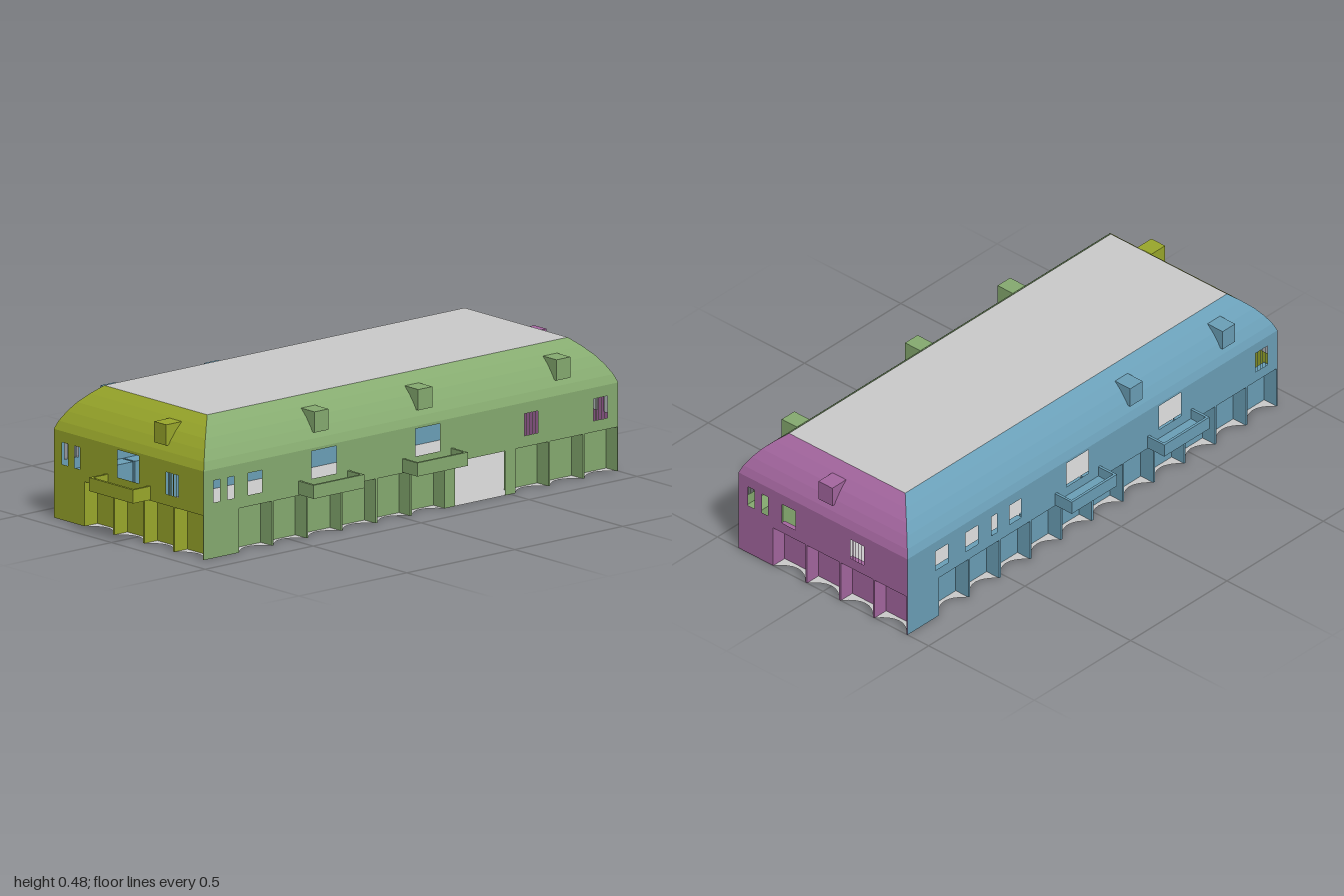
import * as THREE from 'three';

const H = 0.32, BAY_H = 0.16, DEPTH = 0.06, PITCH = 0.16, GAP = 0.004;
// Curved roof edge: [inset from wall, height]
const EAVE = [[0, 0.32], [0.012, 0.35], [0.033, 0.385], [0.058, 0.418], [0.09, 0.45], [0.125, 0.48]];

const FACADES = [
  { name: 'front', color: 0x86ab70, len: 1.92, pos: [0.04, 0, 0.4], rot: 0,
    bays: [1, 2, 3, 4, 5, 6, 9, 10, 11], door: [1.165, 1.395],
    windows: [[0.045, 0.075], [0.11, 0.14], [0.205, 0.27]], slats: [1.485, 1.805],
    balconies: [0.44, 0.92], dormers: [0.525, 1.005, 1.645] },
  { name: 'right', color: 0xa567a0, len: 0.8, pos: [1, 0, 0], rot: Math.PI / 2,
    bays: [1, 2, 3, 4],
    windows: [[0.045, 0.075], [0.11, 0.14], [0.205, 0.27]], slats: [0.53],
    balconies: [], dormers: [0.367] },
  { name: 'back', color: 0x6ba0b8, len: 1.92, pos: [0.04, 0, -0.4], rot: Math.PI,
    bays: [1, 2, 3, 4, 5, 6, 7, 8, 9, 10, 11],
    windows: [[0.144, 0.21], [0.3, 0.365], [0.437, 0.465], [0.53, 0.59]], slats: [1.805],
    balconies: [0.765, 1.245], dormers: [1.17, 1.65] },
  { name: 'left', color: 0x9aa82b, len: 0.8, pos: [-0.92, 0, 0], rot: -Math.PI / 2,
    bays: [1, 2, 3, 4],
    windows: [[0.045, 0.075], [0.11, 0.14]], slats: [0.6],
    balconies: [0.28], dormers: [0.52] },
];

const material = (color) =>
  new THREE.MeshStandardMaterial({ color, side: THREE.DoubleSide, flatShading: true });

function add(parent, name, geometry, mat) {
  const mesh = new THREE.Mesh(geometry, mat);
  mesh.name = name;
  parent.add(mesh);
  return mesh;
}

function addBox(parent, name, mat, x0, x1, y0, y1, z0, z1) {
  add(parent, name, new THREE.BoxGeometry(x1 - x0, y1 - y0, z1 - z0), mat)
    .position.set((x0 + x1) / 2, (y0 + y1) / 2, (z0 + z1) / 2);
}

// Flat four-cornered panels, corners anticlockwise as seen from outside
function quads(list) {
  const pos = [];
  for (const [a, b, c, d] of list) pos.push(...a, ...b, ...c, ...a, ...c, ...d);
  const g = new THREE.BufferGeometry();
  g.setAttribute('position', new THREE.Float32BufferAttribute(pos, 3));
  g.computeVertexNormals();
  return g;
}

const bayRange = (i) => [i * PITCH + GAP, (i + 1) * PITCH - GAP];

function makeFacade(f) {
  const group = new THREE.Group();
  group.name = f.name + 'Facade';
  const mat = material(f.color);
  const h = f.len / 2;

  // Wall outline, notched at the ground for bays and the door
  const notches = f.bays.map(bayRange);
  if (f.door) notches.push(f.door);
  notches.sort((a, b) => a[0] - b[0]);
  const outline = [[0, 0]];
  for (const [a, b] of notches) outline.push([a, 0], [a, BAY_H], [b, BAY_H], [b, 0]);
  outline.push([f.len, 0], [f.len, H], [0, H]);
  const wall = new THREE.Shape(outline.map(([u, y]) => new THREE.Vector2(u - h, y)));
  const hole = (a, b, y0, y1) => wall.holes.push(new THREE.Path(
    [[a, y0], [a, y1], [b, y1], [b, y0]].map(([u, y]) => new THREE.Vector2(u - h, y))));

  // Windows, barred windows and balcony openings
  for (const [a, b] of f.windows) hole(a, b, 0.2, 0.28);
  for (const s of f.slats)
    for (let i = 0; i < 5; i++) hole(s + i * 0.0135, s + i * 0.0135 + 0.0105, 0.2, 0.28);
  for (const b of f.balconies) hole(b + 0.06, b + 0.175, 0.21, 0.31);
  add(group, 'wall', new THREE.ShapeGeometry(wall), mat);

  // Recessed ground floor bays: back, ceiling and two cheeks
  const recess = [];
  for (const i of f.bays) {
    const [a, b] = bayRange(i).map((u) => u - h);
    const p = (x, y, z) => [x, y, -z * DEPTH];
    recess.push(
      [p(a, 0, 1), p(b, 0, 1), p(b, BAY_H, 1), p(a, BAY_H, 1)],
      [p(a, BAY_H, 1), p(b, BAY_H, 1), p(b, BAY_H, 0), p(a, BAY_H, 0)],
      [p(a, 0, 0), p(a, 0, 1), p(a, BAY_H, 1), p(a, BAY_H, 0)],
      [p(b, 0, 1), p(b, 0, 0), p(b, BAY_H, 0), p(b, BAY_H, 1)]);
  }
  add(group, 'recessedBays', quads(recess), mat);

  // Curved eave with mitred ends
  const eave = [];
  for (let i = 0; i + 1 < EAVE.length; i++) {
    const [d0, y0] = EAVE[i], [d1, y1] = EAVE[i + 1];
    eave.push([[-h + d0, y0, -d0], [h - d0, y0, -d0], [h - d1, y1, -d1], [-h + d1, y1, -d1]]);
  }
  add(group, 'curvedEave', quads(eave), mat);

  // Balconies: slab with a thin parapet on three sides
  for (const u of f.balconies) {
    const a = u - h, b = a + 0.235, t = 0.01, y0 = 0.163, y1 = 0.212;
    const balcony = new THREE.Group();
    balcony.name = 'balcony';
    addBox(balcony, 'balconyFloor', mat, a, b, y0, y0 + 0.01, 0, 0.08);
    addBox(balcony, 'balconyFrontParapet', mat, a, b, y0, y1, 0.08 - t, 0.08);
    addBox(balcony, 'balconySideParapet', mat, a, a + t, y0, y1, 0, 0.08 - t);
    addBox(balcony, 'balconySideParapet', mat, b - t, b, y0, y1, 0, 0.08 - t);
    group.add(balcony);
  }

  // Dormers set into the eave
  for (const u of f.dormers)
    addBox(group, 'dormer', mat, u - h, u - h + 0.065, 0.37, 0.445, -0.09, -0.013);

  group.position.set(...f.pos);
  group.rotation.y = f.rot;
  group.updateMatrix();
  return group;
}

export function createModel() {
  const model = new THREE.Group();
  model.name = 'barracksBuilding';
  const grey = material(0xcccccc);
  const floor = [];

  for (const f of FACADES) {
    const facade = makeFacade(f);
    model.add(facade);
    // Floor edge follows the wall, scalloped in front of each bay
    const edge = (u, d) => {
      const p = new THREE.Vector3(u - f.len / 2, 0, -d).applyMatrix4(facade.matrix);
      floor.push(new THREE.Vector2(p.x, -p.z));
    };
    edge(0, 0);
    for (const i of f.bays) {
      const [a, b] = bayRange(i);
      for (let k = 0; k <= 8; k++) {
        const t = k / 8;
        edge(a + (b - a) * t, 0.045 * 4 * t * (1 - t));
      }
    }
  }
  add(model, 'floor', new THREE.ShapeGeometry(new THREE.Shape(floor)).rotateX(-Math.PI / 2), grey);

  // Flat roof
  const [inset, top] = EAVE[EAVE.length - 1];
  const roof = new THREE.PlaneGeometry(1.92 - 2 * inset, 0.8 - 2 * inset).rotateX(-Math.PI / 2);
  add(model, 'flatRoof', roof, grey).position.set(0.04, top, 0);
  return model;
}
